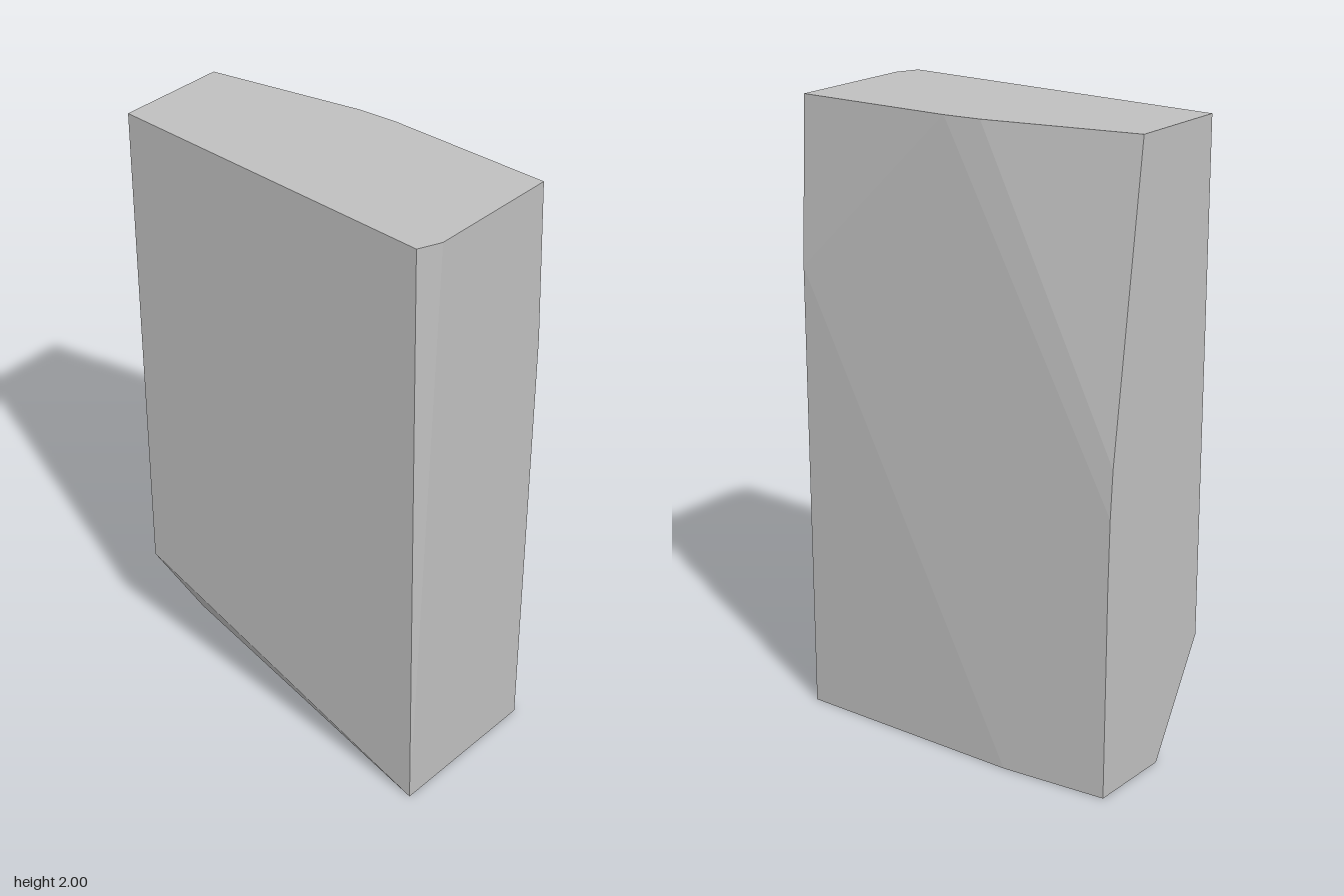
import * as THREE from 'three';
import { ConvexGeometry } from 'three/addons/geometries/ConvexGeometry.js';

const W = 0.56; // half width
const D = 0.262; // half depth
const H = 2; // height

export function createModel() {
  const model = new THREE.Group();
  model.name = 'stoneSlab';

  const stone = new THREE.MeshStandardMaterial({ color: 0xbfbfbf });
  stone.name = 'grey stone';

  const corners = [
    // front face, chipped at the lower right and along the left edge
    [-W, 0.36, D], [W, 0, D], [0.53, H, D], [-W, H, D],
    [W, H, 0.19], [-W, 0, 0.057],
    // back edge of the top
    [W, H, -0.237], [0.04, H, -0.219], [-0.08, H, -0.204], [-W, H, -0.086],
    // back edge of the left side
    [W, 1.47, -D], [W, 0, -D],
    // back edge of the bottom
    [-0.21, 0, -D], [-W, 0, -0.229],
    // back edge of the right side
    [-W, 0.68, -0.223], [-W, 0.9, -0.217], [-W, 1.05, -0.207],
  ].map((p) => new THREE.Vector3(...p));

  // one faceted block spanning the corners
  const slab = new THREE.Mesh(new ConvexGeometry(corners), stone);
  slab.name = 'slab';
  model.add(slab);
  return model;
}
